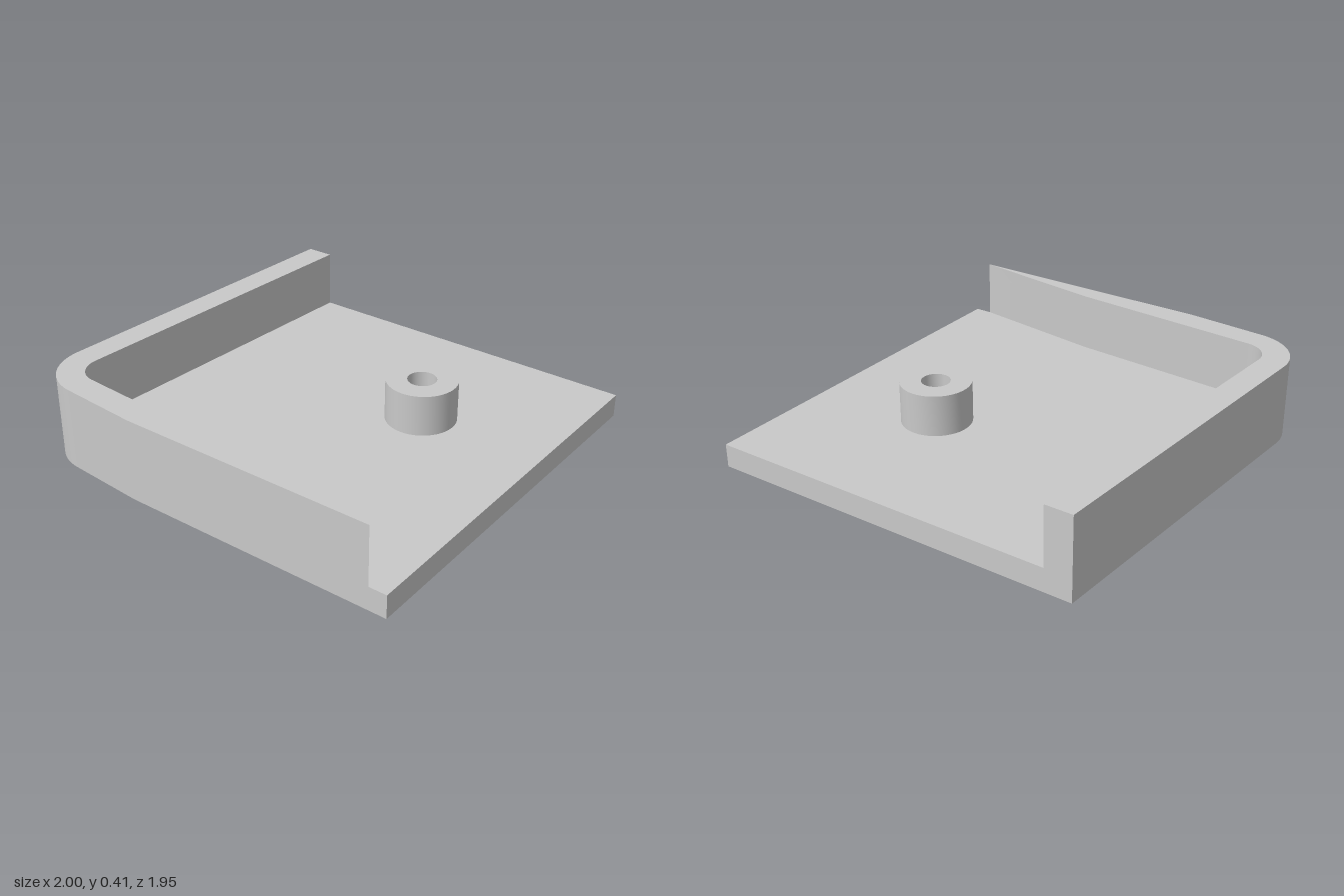
import * as THREE from 'three';
import { toCreasedNormals } from 'three/addons/utils/BufferGeometryUtils.js';

const BACK = -0.975, FRONT = 0.975;       // z limits
const FLOOR = 0.115, WALL = 0.405;        // heights
const CORNER = [-0.738, 0.683];           // centre of the rounded corner
const SKEW = 0.066;                       // lean of the side wall, radians
const BOSS = [0.355, -0.225];

export function createModel() {
  const group = new THREE.Group();
  const grey = new THREE.MeshStandardMaterial({ color: 0xc9c9c9 });
  grey.name = 'light grey';

  const add = (name, geometry) => {
    const mesh = new THREE.Mesh(toCreasedNormals(geometry, 0.3), grey);
    mesh.name = name;
    group.add(mesh);
    return mesh;
  };

  // Extrude a plan (drawn with y = -z) upward between two heights
  const slab = (shape, bottom, top) =>
    new THREE.ExtrudeGeometry(shape, { depth: top - bottom, bevelEnabled: false, curveSegments: 24 })
      .rotateX(-Math.PI / 2)
      .translate(0, bottom, 0);

  const from = Math.PI - SKEW, to = 1.5 * Math.PI - SKEW;
  const outerR = 0.262, innerR = 0.131;

  // Outer edge from the back left, round the corner, to the front
  const outline = () => {
    const s = new THREE.Shape();
    s.moveTo(-0.89, -BACK);
    s.lineTo(CORNER[0] + outerR * Math.cos(from), -CORNER[1] + outerR * Math.sin(from));
    s.absarc(CORNER[0], -CORNER[1], outerR, from, to, false);
    s.lineTo(-0.36, -FRONT);
    return s;
  };

  // Floor plate with the screw recess opening
  const floor = outline();
  floor.lineTo(1, -FRONT);
  floor.lineTo(1, -BACK);
  floor.closePath();
  const hole = new THREE.Path();
  hole.absarc(BOSS[0], -BOSS[1], 0.125, 0, Math.PI * 2, true);
  floor.holes.push(hole);
  add('floorPlate', slab(floor, 0, FLOOR));

  // Wall that tapers to nothing along the front edge
  const wall = outline();
  wall.lineTo(0.912, -FRONT);
  wall.lineTo(0.22, -0.877);
  wall.absarc(CORNER[0], -CORNER[1], innerR, to, from, true);
  wall.lineTo(-0.755, -BACK);
  wall.closePath();
  add('rimWall', slab(wall, FLOOR, WALL));

  // Screw boss with a through bore and a wider recess underneath
  const profile = [
    [0.172, FLOOR], [0.172, 0.32], [0.07, 0.32], [0.07, 0.2], [0.125, 0.2], [0.125, 0],
  ].map(([r, y]) => new THREE.Vector2(r, y));
  add('screwBoss', new THREE.LatheGeometry(profile, 48)).position.set(BOSS[0], 0, BOSS[1]);

  return group;
}
